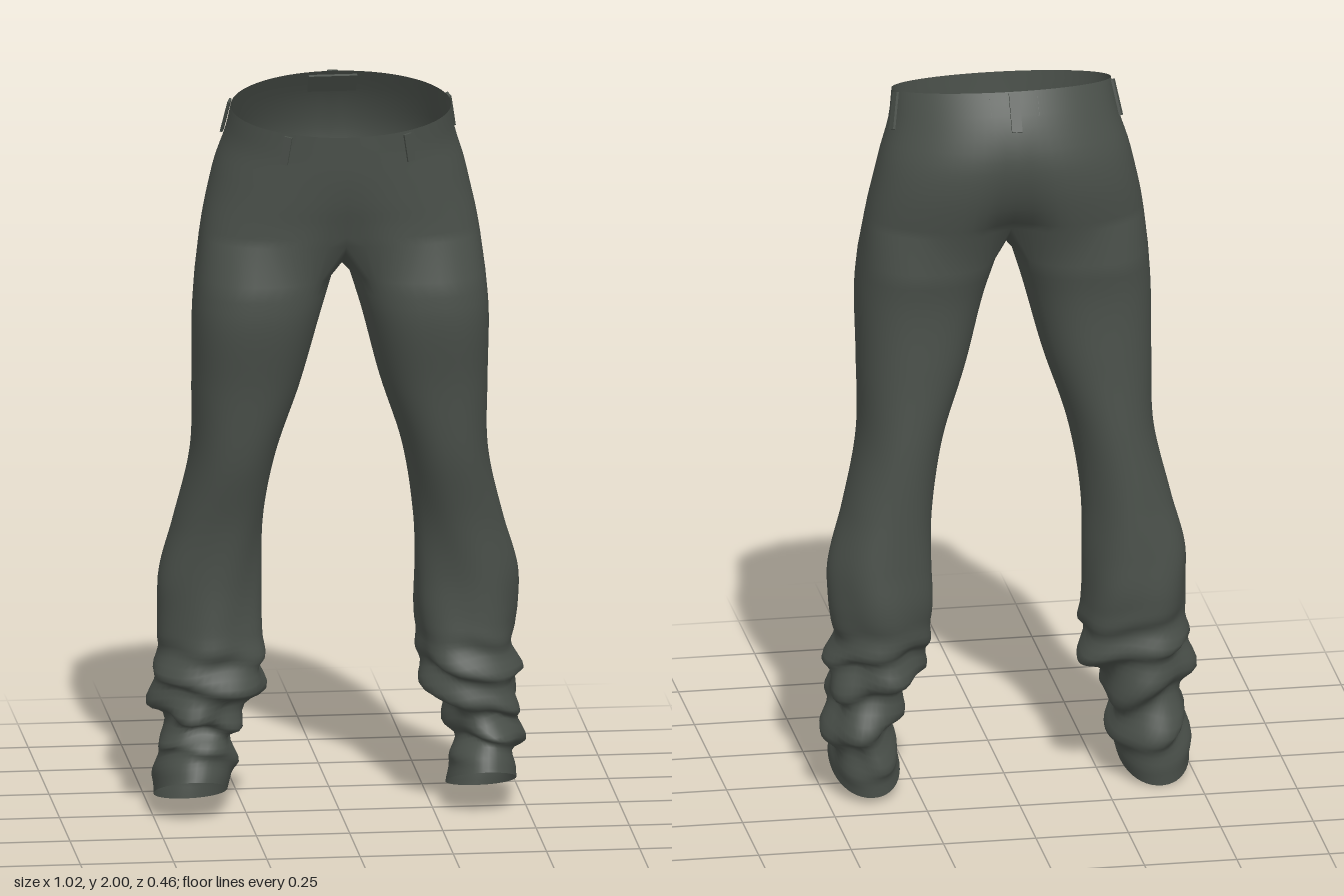
import * as THREE from 'three';
import { mergeVertices } from 'three/addons/utils/BufferGeometryUtils.js';

const OUTER = 36, INNER = 12, WRAP = 0.95;

// smooth interpolation through rows keyed by falling height (first column)
function rowSampler(rows) {
  const size = rows[0].length;
  const cubic = new THREE.CubicInterpolant(rows.map(r => -r[0]), rows.flat(), size, new Float32Array(size));
  return y => Array.from(cubic.evaluate(-y));
}
const power = (v, e) => Math.sign(v) * Math.abs(v) ** e;

// seat: mid height, rise to the back, half width, front z, back z, front dent, back dent, squareness
const seatRow = rowSampler([
  [1.957, 0.043, 0.295, 0.232, -0.15, 0, 0, 2],
  [1.88, 0.035, 0.308, 0.228, -0.2, 0, 0, 2.05],
  [1.80, 0.02, 0.333, 0.222, -0.232, 0, 0.006, 2.15],
  [1.72, 0.01, 0.352, 0.215, -0.232, 0.006, 0.02, 2.25],
  [1.66, 0, 0.365, 0.208, -0.217, 0.014, 0.04, 2.35],
  [1.60, 0, 0.375, 0.205, -0.2, 0.03, 0.08, 2.45],
]);

// point on the seat, t runs from front centre (0) over the left hip to back centre (PI)
function seatPoint(t, height) {
  const [y, rise, rx, zf, zb, df, db, n] = seatRow(height);
  const c = Math.cos(t), x = rx * power(Math.max(0, Math.sin(t)), 2 / n);
  const dent = Math.exp(-((x / 0.08) ** 2)) * (c > 0 ? -df : db);
  return new THREE.Vector3(x, y - rise * c, (zf + zb) / 2 + (zf - zb) / 2 * power(c, 2 / n) + dent);
}

// legs: height, outer x, inner x, front z, back z, hem slope
const thigh = [
  [1.50, 0.387, 0.024, 0.208, -0.178, 0],
  [1.40, 0.395, 0.055, 0.211, -0.163, 0],
  [1.20, 0.395, 0.108, 0.176, -0.164, 0],
  [1.00, 0.398, 0.172, 0.148, -0.173, 0],
  [0.80, 0.442, 0.203, 0.1, -0.18, 0],
  [0.65, 0.482, 0.206, 0.082, -0.188, 0],
  [0.55, 0.482, 0.206, 0.082, -0.192, 0],
];
const leftRow = rowSampler([...thigh,
  [0.44, 0.472, 0.218, 0.09, -0.18, 0],
  [0.36, 0.49, 0.23, 0.098, -0.175, 0],
  [0.29, 0.475, 0.275, 0.092, -0.165, 0.05],
  [0.21, 0.492, 0.31, 0.088, -0.175, 0.2],
  [0.15, 0.475, 0.302, 0.108, -0.172, 0.33],
  [0.075, 0.475, 0.288, 0.138, -0.165, 0.37]]);
const rightRow = rowSampler([...thigh,
  [0.44, 0.482, 0.2, 0.09, -0.18, 0],
  [0.34, 0.5, 0.205, 0.1, -0.175, 0],
  [0.28, 0.475, 0.258, 0.092, -0.165, 0.05],
  [0.23, 0.468, 0.272, 0.088, -0.17, 0.2],
  [0.15, 0.492, 0.278, 0.108, -0.172, 0.35],
  [0.065, 0.495, 0.3, 0.138, -0.165, 0.4]]);

// gathered cloth around the ankle, with faint drape up to the knee
function fold(angle, y, phase) {
  const gather = THREE.MathUtils.smoothstep(y, 0.08, 0.2) * (1 - THREE.MathUtils.smoothstep(y, 0.36, 0.52));
  const drape = THREE.MathUtils.smoothstep(y, 0.1, 0.4) * (1 - THREE.MathUtils.smoothstep(y, 0.5, 1));
  const wave = Math.sin(y * 62 + 2 * Math.sin(angle + phase) + phase);
  return gather * (0.012 * wave + 0.007 * Math.sin(4 * angle + y * 35 + phase))
    + 0.004 * drape * Math.sin(5 * angle + y * 9 + phase);
}

function legRing(y0, row, phase) {
  const [y, xo, xi, zf, zb, slope] = row(y0);
  const n = THREE.MathUtils.lerp(2.1, 2.45, THREE.MathUtils.smoothstep(y, 0.7, 1.5));
  const ring = [];
  for (let i = 0; i < OUTER + INNER; i++) {
    const a = i <= OUTER
      ? -WRAP + (Math.PI + 2 * WRAP) * i / OUTER
      : Math.PI + WRAP + (Math.PI - 2 * WRAP) * (i - OUTER) / INNER;
    const f = fold(a, y, phase), s = Math.sin(a), c = Math.cos(a);
    const x = (xo + xi) / 2 + ((xo - xi) / 2 + f) * power(s, 2 / n);
    const z = (zf + zb) / 2 + ((zf - zb) / 2 + f) * power(c, 2 / n);
    ring.push(new THREE.Vector3(x, y + slope * (z + 0.012) - f * 0.7, z));
  }
  return ring;
}

// joins rings of equal length into faces; side -1 mirrors to the right
function addLoft(out, rings, closed, side) {
  const quad = (a, b, c, d) => {
    const corners = side > 0 ? [a, b, c, a, c, d] : [a, c, b, a, d, c];
    for (const p of corners) out.push(side * p.x, p.y, p.z);
  };
  for (let r = 0; r + 1 < rings.length; r++) {
    const n = rings[r].length;
    for (let i = 0; i < (closed ? n : n - 1); i++) {
      const j = (i + 1) % n;
      quad(rings[r][i], rings[r + 1][i], rings[r + 1][j], rings[r][j]);
    }
  }
}

function buildCloth() {
  const out = [];
  for (const side of [1, -1]) {
    // half of the seat, from waist to crotch line
    const seat = [];
    for (let r = 0; r <= 14; r++) {
      const h = THREE.MathUtils.lerp(1.957, 1.6, r / 14);
      seat.push(Array.from({ length: OUTER + 1 }, (_, i) => {
        const p = seatPoint(Math.PI * i / OUTER, h);
        if (i === 0 || i === OUTER) p.x = 0;
        return p;
      }));
    }
    addLoft(out, seat, false, side);

    // the leg opening: lower seat edge closed by the crotch seam
    const edge = seat[14], top = [...edge];
    for (let k = 1; k < INNER; k++) {
      const u = k / INNER;
      top.push(new THREE.Vector3(0, 1.6 - 0.075 * Math.sin(Math.PI * u) ** 0.8,
        THREE.MathUtils.lerp(edge[OUTER].z, edge[0].z, u)));
    }
    const row = side > 0 ? leftRow : rightRow, hem = side > 0 ? 0.075 : 0.065;
    const rings = [top];
    for (let r = 0; r <= 80; r++) {
      rings.push(legRing(THREE.MathUtils.lerp(1.5, hem, (r / 80) ** 0.8), row, side > 0 ? 0.6 : 2.9));
    }
    addLoft(out, rings, true, side);
  }
  let geometry = new THREE.BufferGeometry();
  geometry.setAttribute('position', new THREE.Float32BufferAttribute(out, 3));
  geometry = mergeVertices(geometry, 1e-5);
  geometry.computeVertexNormals();
  return geometry;
}

// thin plate laid on the seat surface
function seatPlate(name, material, t, side, width, high, low, offset) {
  const a = seatPoint(t, high), b = seatPoint(t, low);
  const up = a.clone().sub(b), length = up.length();
  up.normalize();
  const along = seatPoint(t + 0.02, high).sub(seatPoint(t - 0.02, high));
  if (t > 3.1) along.set(-1, 0, 0);
  const out = along.cross(up).normalize();
  const right = up.clone().cross(out);
  const mesh = new THREE.Mesh(new THREE.BoxGeometry(width, length, 0.007), material);
  mesh.name = name;
  mesh.position.copy(a).add(b).multiplyScalar(0.5).addScaledVector(out, offset);
  mesh.quaternion.setFromRotationMatrix(new THREE.Matrix4().makeBasis(right, up, out));
  if (side < 0) {
    mesh.position.x *= -1;
    mesh.quaternion.y *= -1;
    mesh.quaternion.z *= -1;
  }
  return mesh;
}

export function createModel() {
  const group = new THREE.Group();
  group.name = 'trousers';
  const cloth = new THREE.MeshStandardMaterial({ color: 0x4a504a, side: THREE.DoubleSide });
  cloth.name = 'dark grey green cloth';

  const shell = new THREE.Mesh(buildCloth(), cloth);
  shell.name = 'seatAndLegs';
  group.add(shell);

  // belt loops: two in front, two at the sides, one behind
  for (const side of [1, -1]) {
    group.add(seatPlate('frontBeltLoop', cloth, 0.56, side, 0.022, 1.95, 1.865, 0.006));
    group.add(seatPlate('sideBeltLoop', cloth, 1.8, side, 0.022, 1.953, 1.865, 0.006));
  }
  group.add(seatPlate('backBeltLoop', cloth, Math.PI, 1, 0.028, 1.953, 1.87, 0.006));

  // plain patch inside the back of the waist
  group.add(seatPlate('waistPatch', cloth, Math.PI, 1, 0.13, 1.95, 1.905, -0.008));
  return group;
}
